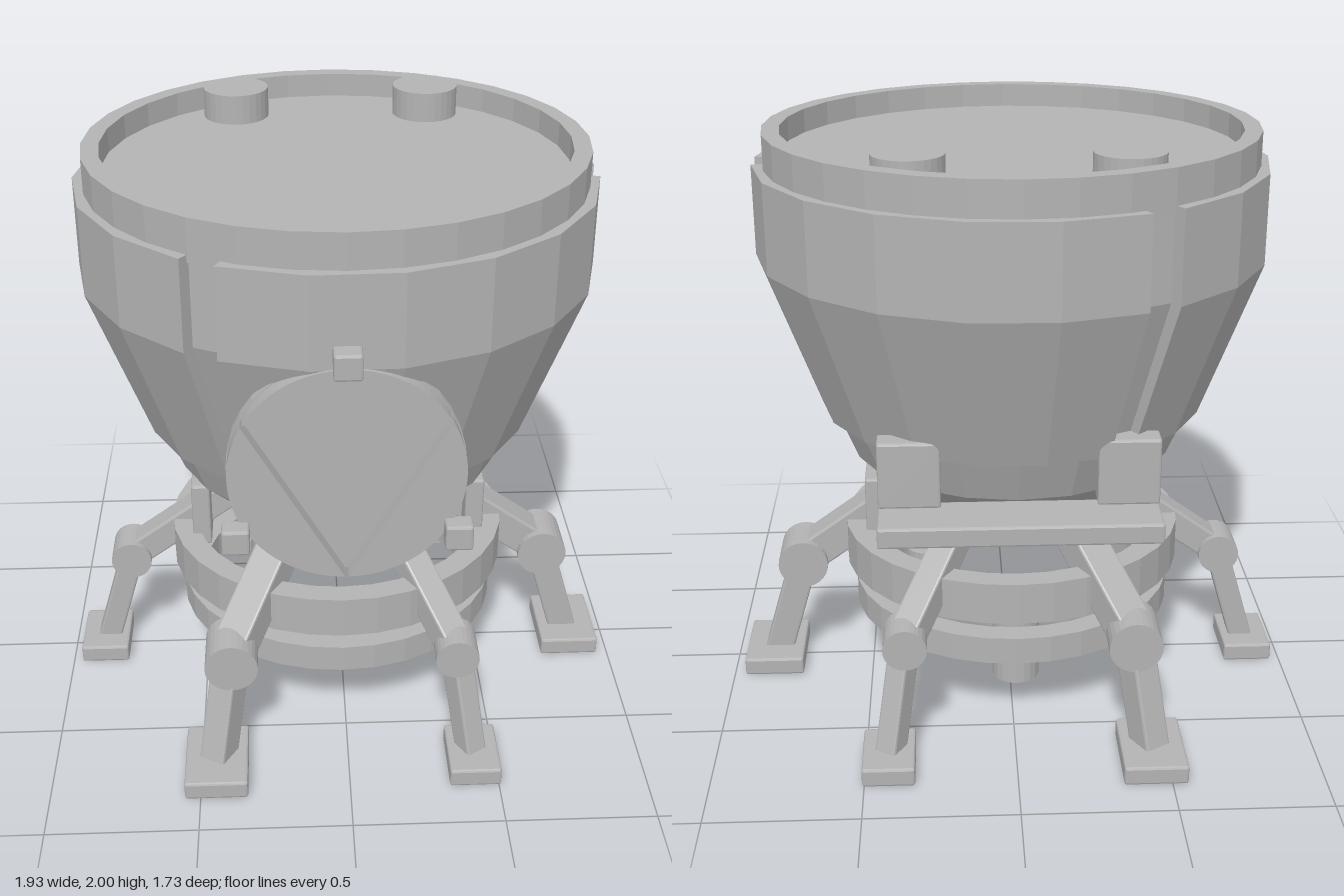
import * as THREE from 'three';
import { RoundedBoxGeometry } from 'three/addons/geometries/RoundedBoxGeometry.js';

const rad = THREE.MathUtils.degToRad;
const DEPTH = 0.954; // the hull is slightly flattened front to back

export function createModel() {
  const model = new THREE.Group();
  model.name = 'landerPod';
  const grey = new THREE.MeshStandardMaterial({ color: 0xb3b3b3 });
  grey.name = 'hull grey';
  grey.flatShading = true;
  const greyTwoSided = grey.clone();
  greyTwoSided.side = THREE.DoubleSide;

  const add = (parent, name, geo, x = 0, y = 0, z = 0, mat = grey) => {
    const mesh = new THREE.Mesh(geo, mat);
    mesh.name = name;
    mesh.position.set(x, y, z);
    parent.add(mesh);
    return mesh;
  };
  const pts = (list) => list.map(([r, y]) => new THREE.Vector2(r, y));
  const block = (w, h, d) => new RoundedBoxGeometry(w, h, d, 1, 0.008);
  const cyl = (r, h, n = 28) => new THREE.CylinderGeometry(r, r, h, n);
  // ring with rectangular section
  const ring = (ri, ro, y0, y1) =>
    new THREE.LatheGeometry(pts([[ri, y0], [ro, y0], [ro, y1], [ri, y1], [ri, y0]]), 32);

  const hull = new THREE.Group();
  hull.name = 'hull';
  hull.scale.z = DEPTH;
  model.add(hull);

  // inner bowl, closed below
  add(hull, 'bowl', new THREE.LatheGeometry(
    pts([[0, 0.735], [0.41, 0.735], [0.555, 0.87], [0.62, 1.03], [0.81, 1.565], [0.81, 1.86]]), 20));

  // three shell panels with narrow seams between them
  const profile = pts([[0.61, 1.03], [0.655, 1.03], [0.852, 1.565], [0.852, 1.865], [0.78, 1.865], [0.78, 1.565]]);
  const gap = rad(3.9);
  const sweep = rad(120) - 2 * gap;
  for (let i = 0; i < 3; i++) {
    const start = rad(90 + 120 * i) + gap;
    add(hull, 'shellPanel', new THREE.LatheGeometry([...profile, profile[0]], 6, start, sweep));
    for (const phi of [start, start + sweep]) {
      const end = new THREE.ShapeGeometry(new THREE.Shape(profile));
      end.rotateY(phi - Math.PI / 2);
      add(hull, 'shellPanelEnd', end, 0, 0, 0, greyTwoSided);
    }
  }

  // top rim, recessed lid and two caps
  add(hull, 'topRim', ring(0.757, 0.815, 1.84, 1.98));
  add(hull, 'lid', cyl(0.765, 0.05, 32), 0, 1.875, 0);
  for (const s of [-1, 1]) add(model, 'lidCap', cyl(0.112, 0.12), s * 0.33, 1.94, -0.515);

  // undercarriage rings and thrusters
  add(hull, 'upperRing', ring(0.51, 0.593, 0.435, 0.58));
  add(hull, 'lowerRing', ring(0.48, 0.562, 0.265, 0.36));
  for (let i = 0; i < 3; i++) {
    const a = rad(90 + 120 * i);
    add(model, 'thruster', cyl(0.081, 0.245, 20), 0.355 * Math.cos(a), 0.2375, -0.355 * DEPTH * Math.sin(a));
  }
  for (const s of [-1, 1]) add(model, 'sidePlate', block(0.065, 0.24, 0.29), s * 0.483, 0.655, 0);

  // six legs, alternating heavy and light
  const beam = (parent, name, a, b, w, t) => {
    const mid = a.clone().add(b).multiplyScalar(0.5);
    const m = add(parent, name, block(w, t, a.distanceTo(b)), mid.x, mid.y, mid.z);
    m.lookAt(b);
  };
  for (let i = 0; i < 6; i++) {
    const k = i % 2 ? 0.82 : 1;
    const a = rad(60 * i);
    const at = (r, y) => new THREE.Vector3(r * Math.cos(a), y, -r * DEPTH * Math.sin(a));
    const leg = new THREE.Group();
    leg.name = 'leg';
    model.add(leg);
    const knee = at(0.75, 0.415);
    const foot = at(0.868, 0.0325);
    beam(leg, 'upperLeg', at(0.395, 0.67), knee, 0.12 * k, 0.12 * k);
    beam(leg, 'lowerLeg', knee, at(0.86, 0.04), 0.095 * k, 0.1 * k);
    add(leg, 'knee', cyl(0.088 * k, 0.17 * k).rotateX(Math.PI / 2), knee.x, knee.y, knee.z);
    add(leg, 'foot', block(0.21 * k, 0.065, 0.29 * k), foot.x, foot.y, foot.z);
  }

  // round front hatch: stepped collar, three door segments, three latches
  const hatch = new THREE.Group();
  hatch.name = 'hatch';
  hatch.position.set(0, 1.212, 0);
  model.add(hatch);
  const collar = [[0.345, 0.5, 0.64], [0.285, 0.63, 0.685], [0.32, 0.68, 0.72], [0.364, 0.72, 0.755]];
  for (const [r, z0, z1] of collar) {
    add(hatch, 'hatchCollar', cyl(r, z1 - z0, 36).rotateX(Math.PI / 2), 0, 0, (z0 + z1) / 2);
  }
  for (let i = 0; i < 3; i++) {
    const b = rad(90 + 120 * i);
    const door = new THREE.Shape();
    door.moveTo(0.012 * Math.cos(b), 0.012 * Math.sin(b));
    door.absarc(0, 0, 0.36, b - rad(59.1), b + rad(59.1), false);
    door.closePath();
    add(hatch, 'hatchDoor',
      new THREE.ExtrudeGeometry(door, { depth: 0.06, bevelEnabled: false, curveSegments: 14 }), 0, 0, 0.752);
    add(hatch, 'hatchLatch', block(0.085, 0.085, 0.07), 0.39 * Math.cos(b), 0.39 * Math.sin(b), 0.832);
  }

  // rear step on two brackets
  add(model, 'rearStep', block(0.9, 0.07, 0.195), 0, 0.835, -0.625);
  for (const s of [-1, 1]) add(model, 'stepBracket', block(0.2, 0.225, 0.085), s * 0.35, 0.985, -0.543);

  model.position.set(-0.013, 0, -0.003);
  const root = new THREE.Group();
  root.name = 'model';
  root.add(model);
  return root;
}
